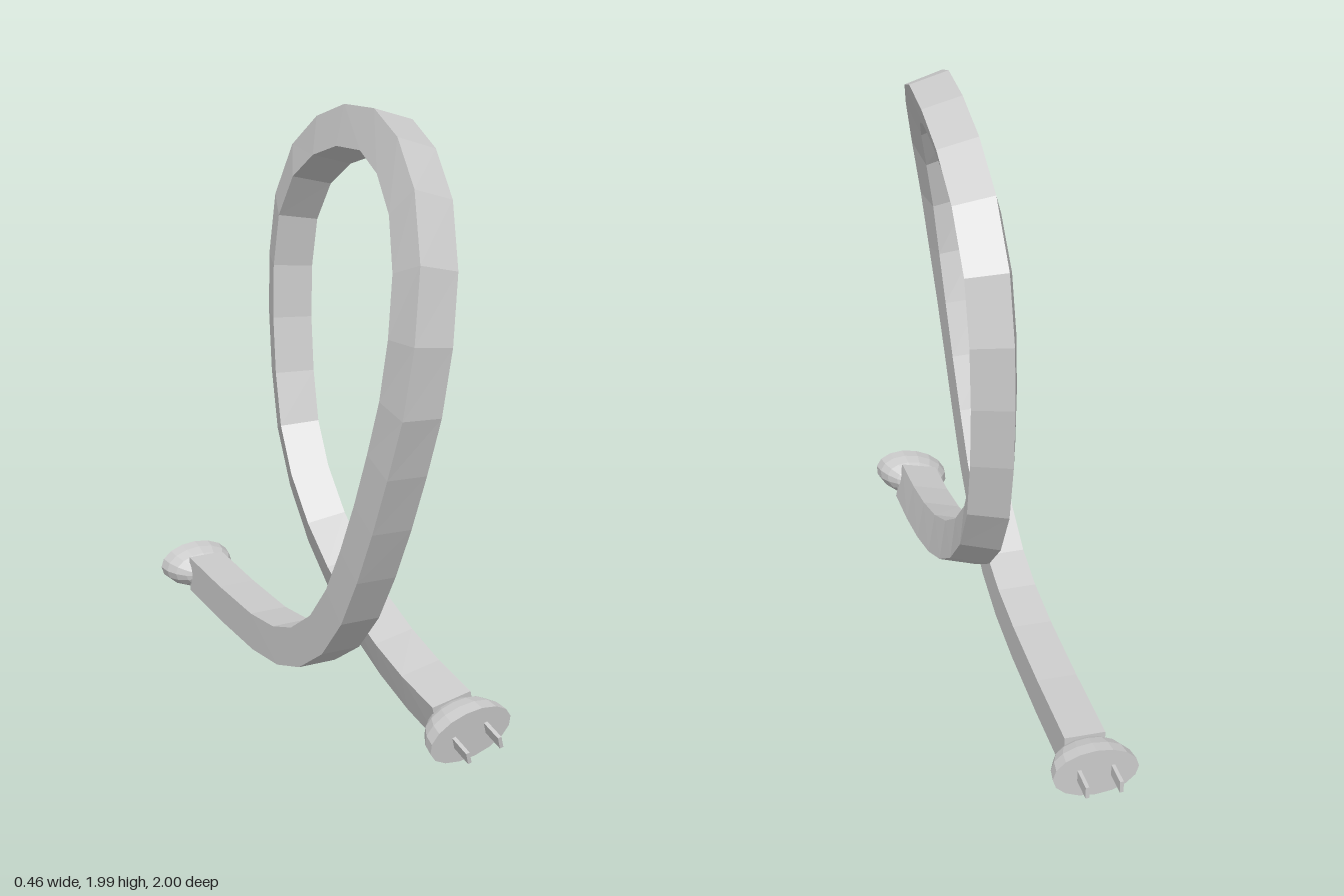
import * as THREE from 'three';

const material = new THREE.MeshStandardMaterial({ color: 0xcccccc, flatShading: true });

// Centre line of the looped cord: [x, y, z]
const PATH = [
  [-0.085, 0.088, -0.81], [-0.085, 0.092, -0.5], [-0.085, 0.108, -0.2], [-0.083, 0.142, 0],
  [-0.08, 0.205, 0.16], [-0.077, 0.32, 0.32], [-0.074, 0.47, 0.445], [-0.07, 0.64, 0.54],
  [-0.064, 0.825, 0.625], [-0.055, 1.015, 0.695], [-0.042, 1.2, 0.748], [-0.02, 1.4, 0.76],
  [0.016, 1.595, 0.715], [0.057, 1.76, 0.605], [0.095, 1.865, 0.44], [0.12, 1.915, 0.26],
  [0.13, 1.9, 0.055], [0.131, 1.84, -0.135], [0.128, 1.735, -0.3], [0.122, 1.57, -0.413],
  [0.118, 1.375, -0.453], [0.115, 1.18, -0.453], [0.112, 0.98, -0.427], [0.11, 0.79, -0.378],
  [0.108, 0.628, -0.278], [0.105, 0.49, -0.128], [0.103, 0.385, 0.04], [0.101, 0.305, 0.225],
  [0.1, 0.253, 0.415], [0.099, 0.222, 0.605], [0.098, 0.208, 0.81],
].map((p) => new THREE.Vector3(...p));

// Twist of the square section in degrees, growing over the top of the loop
function rollAt(i) {
  if (i < 15) return 17 * THREE.MathUtils.smoothstep(i, 8, 15);
  return i < 24 ? 17 : 17 - (i - 24) * 0.7;
}

// Square section swept along the centre line
function cordGeometry(half) {
  const positions = [];
  const index = [];
  const last = PATH.length - 1;
  PATH.forEach((p, i) => {
    const tangent = PATH[Math.min(i + 1, last)].clone().sub(PATH[Math.max(i - 1, 0)]).normalize();
    const side = new THREE.Vector3(1, 0, 0).addScaledVector(tangent, -tangent.x).normalize();
    const outward = side.clone().cross(tangent);
    const roll = -THREE.MathUtils.degToRad(rollAt(i));
    const s = side.clone().multiplyScalar(Math.cos(roll)).addScaledVector(outward, Math.sin(roll));
    const n = outward.multiplyScalar(Math.cos(roll)).addScaledVector(side, -Math.sin(roll));
    for (const [a, b] of [[-1, 1], [1, 1], [1, -1], [-1, -1]]) {
      positions.push(...p.clone().addScaledVector(s, a * half).addScaledVector(n, b * half).toArray());
    }
    if (i === last) return;
    for (let k = 0; k < 4; k++) {
      const a = i * 4 + k;
      const b = i * 4 + ((k + 1) % 4);
      index.push(a, b, b + 4, a, b + 4, a + 4);
    }
  });
  // End caps
  const e = last * 4;
  index.push(0, 3, 2, 0, 2, 1, e, e + 1, e + 2, e, e + 2, e + 3);
  const geometry = new THREE.BufferGeometry();
  geometry.setAttribute('position', new THREE.Float32BufferAttribute(positions, 3));
  geometry.setIndex(index);
  geometry.computeVertexNormals();
  return geometry;
}

function addMesh(parent, name, geometry) {
  const mesh = new THREE.Mesh(geometry, material);
  mesh.name = name;
  parent.add(mesh);
  return mesh;
}

// Oval plug: domed body behind a flat face, with two blades towards +z
function createPlug(name) {
  const plug = new THREE.Group();
  plug.name = name;
  const [rx, ry, depth] = [0.14, 0.084, 0.15];
  const dome = new THREE.SphereGeometry(1, 16, 5, 0, Math.PI * 2, 0, Math.PI / 2);
  addMesh(plug, 'plugBody', dome.rotateX(-Math.PI / 2).scale(rx, ry, depth));
  addMesh(plug, 'plugFace', new THREE.CircleGeometry(1, 16).scale(rx, ry, 1));
  for (const x of [-0.055, 0.055]) {
    addMesh(plug, 'prong', new THREE.BoxGeometry(0.012, 0.04, 0.1)).position.set(x, 0, 0.035);
  }
  return plug;
}

export function createModel() {
  const model = new THREE.Group();
  model.name = 'powerCord';
  addMesh(model, 'cord', cordGeometry(0.067));

  const backPlug = createPlug('backPlug');
  backPlug.position.set(-0.09, 0.088, -0.915);
  backPlug.rotation.y = Math.PI;

  const frontPlug = createPlug('frontPlug');
  frontPlug.position.set(0.095, 0.2, 0.915);
  frontPlug.rotation.set(0.12, 0, 0.27);

  model.add(backPlug, frontPlug);
  return model;
}
